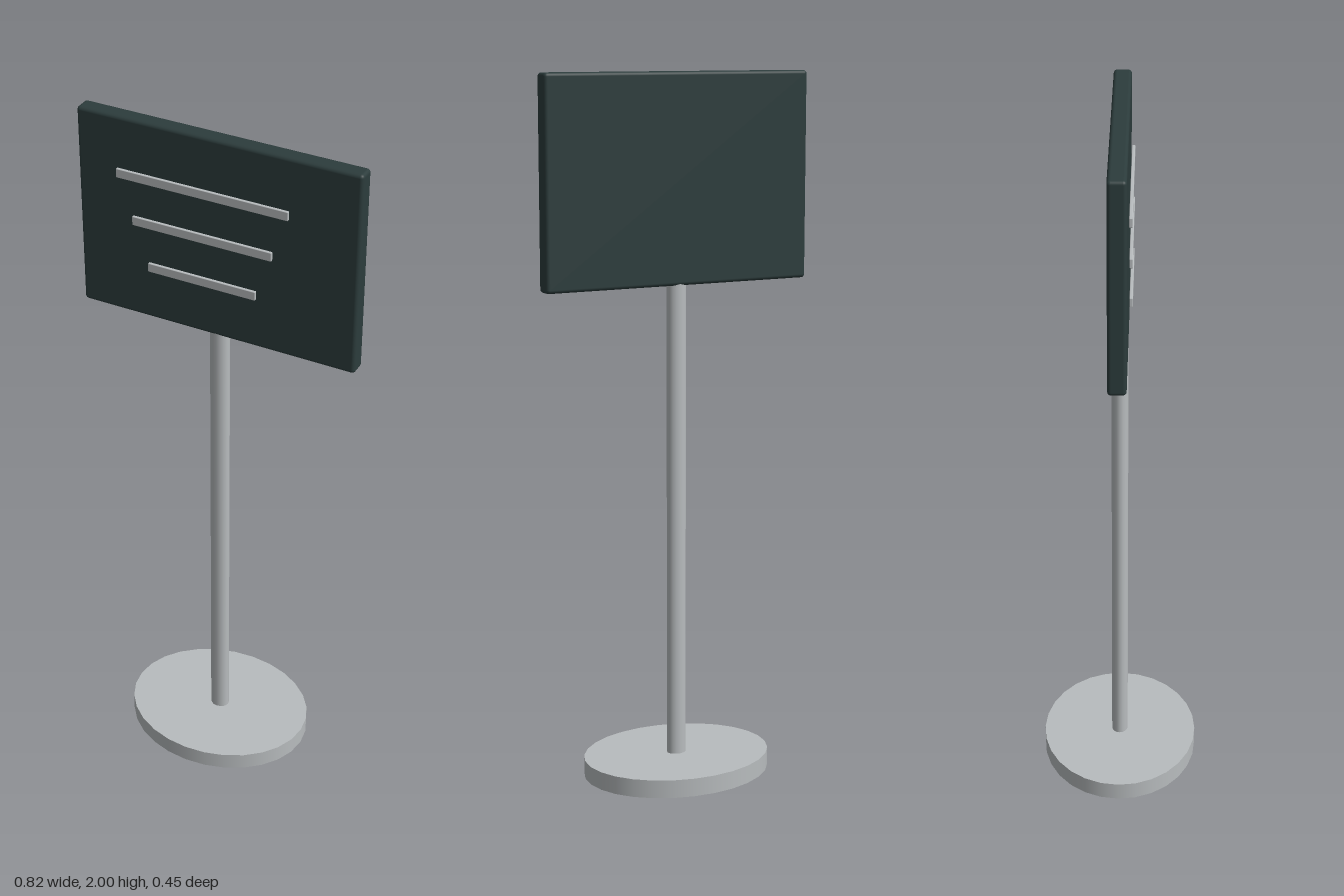
import * as THREE from 'three';
import { RoundedBoxGeometry } from 'three/addons/geometries/RoundedBoxGeometry.js';

export function createModel() {
  const model = new THREE.Group();
  model.name = 'signStand';

  const metal = new THREE.MeshStandardMaterial({ name: 'pale grey metal', color: 0xb8bcbe });
  const panel = new THREE.MeshStandardMaterial({ name: 'dark slate green', color: 0x2c3c3c });

  const add = (name, geometry, material, x, y, z) => {
    const mesh = new THREE.Mesh(geometry, material);
    mesh.name = name;
    mesh.position.set(x, y, z);
    model.add(mesh);
    return mesh;
  };

  // upright elliptical cylinder standing between two heights
  const column = (name, rx, rz, y0, y1, sides) => {
    const geometry = new THREE.CylinderGeometry(1, 1, y1 - y0, sides).scale(rx, 1, rz);
    return add(name, geometry, metal, 0, (y0 + y1) / 2, 0);
  };

  // oval foot and post
  column('base', 0.277, 0.227, 0, 0.052, 28);
  column('post', 0.028, 0.0235, 0.045, 1.425, 16);

  // sign board with softened edges
  add('board', new RoundedBoxGeometry(0.816, 0.585, 0.05, 3, 0.01), panel, 0, 1.7075, 0);

  // three raised bars on the front, shorter towards the bottom
  [0.5, 0.41, 0.32].forEach((width, i) => {
    const bar = new RoundedBoxGeometry(width, 0.026, 0.009, 2, 0.002);
    add(`bar${i + 1}`, bar, metal, -0.038, 1.841 - i * 0.131, 0.033);
  });

  return model;
}
